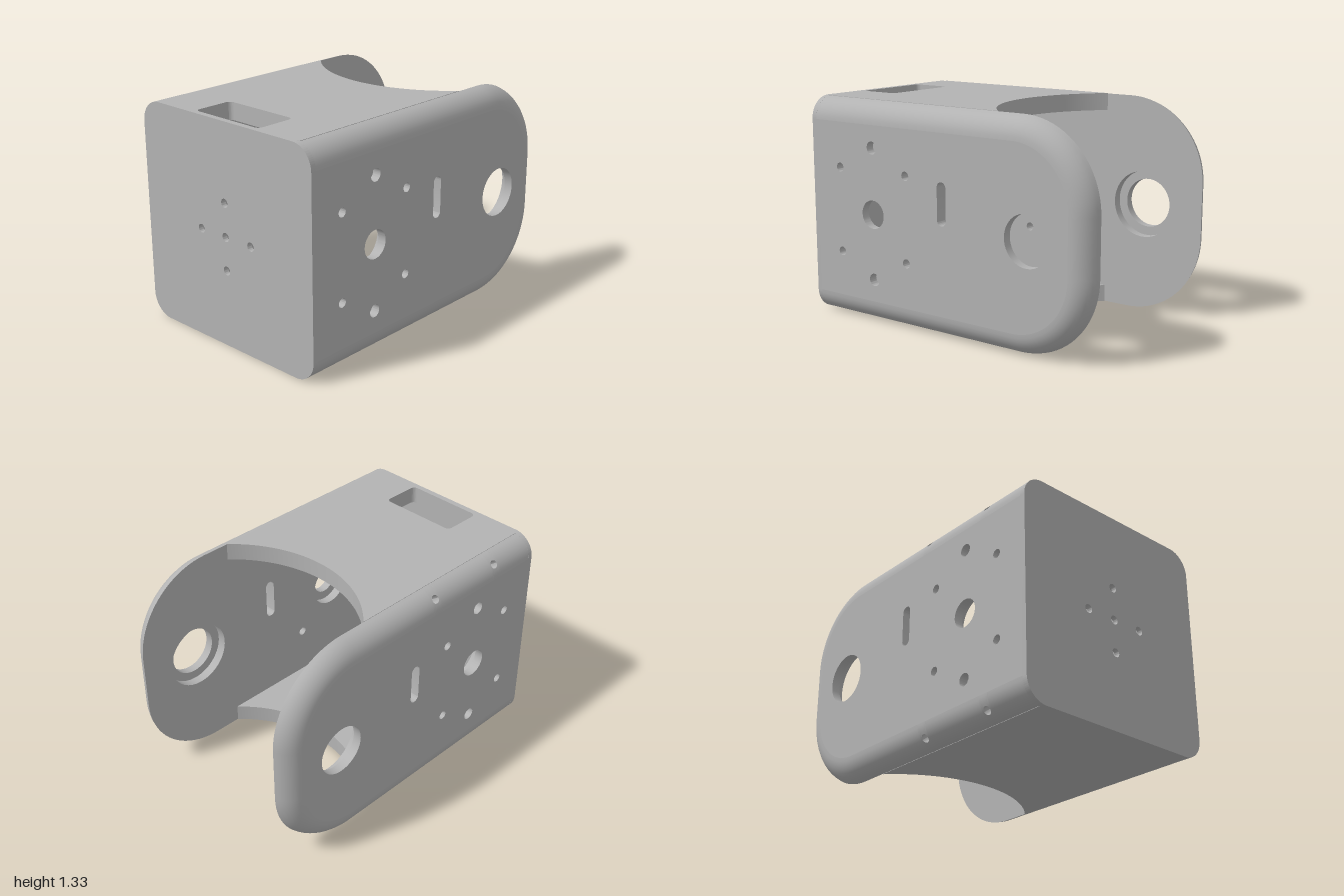
import * as THREE from 'three';
import { toCreasedNormals } from 'three/addons/utils/BufferGeometryUtils.js';

const H = 1.333, W = 0.665;      // height, half width
const IN = 0.555, STEP = 0.612;  // inner wall face, counterbore floor
const R = 0.5, F = 0.135;        // back corner radius, edge fillet
const FZ = 0.968;                // inner face of the front plate
const MID = H / 2;
const A_END = Math.acos((IN - W + F) / F), ROWS = 8;
const PIN_Z = [0.67, 0.16], PIN_HALF = 0.035;

const crease = (g) => toCreasedNormals(g, 0.5);

// Surface through rows of points
function loft(rows, skip = () => false) {
  const n = rows[0].length, index = [];
  for (let r = 0; r < rows.length - 1; r++) {
    for (let c = 0; c < n - 1; c++) {
      if (skip(r, c)) continue;
      const a = r * n + c, b = a + n;
      index.push(a, b, a + 1, b, b + 1, a + 1);
    }
  }
  const g = new THREE.BufferGeometry().setFromPoints(rows.flat());
  g.setIndex(index);
  return crease(g);
}

// Side outline as [z, y], inset by i, from bottom front round the back to top front
function outline(i) {
  const half = [[FZ, i]];
  for (const z of PIN_Z) half.push([z + PIN_HALF, i], [z - PIN_HALF, i]);
  for (let k = 0; k <= 20; k++) {
    const t = (k / 20) * Math.PI / 2;
    half.push([R - 1 - (R - i) * Math.sin(t), R - (R - i) * Math.cos(t)]);
  }
  return [...half, ...half.map(([z, y]) => [z, H - y]).reverse()];
}

const circle = (x, y, r) => new THREE.Path().absarc(x, y, r, 0, Math.PI * 2, true);

function extrude(shape, depth) {
  return new THREE.ExtrudeGeometry(shape, { depth, bevelEnabled: false, curveSegments: 32 });
}

// Flat layer of a side wall between two x positions
function wallLayer(x0, x1, bigR, midR, blind) {
  const s = new THREE.Shape(outline(F).map(([z, y]) => new THREE.Vector2(-z, y)));
  s.holes.push(circle(0.6, MID, bigR), circle(-0.517, MID, midR));
  for (const z of [0.26, 0.777]) {
    for (const dy of [-0.258, 0.258]) s.holes.push(circle(-z, MID + dy, 0.027));
  }
  if (blind) for (const dy of [-0.397, 0.397]) s.holes.push(circle(-0.517, MID + dy, 0.038));
  const slot = new THREE.Path();
  slot.absarc(0.01, 0.888, 0.032, 0, Math.PI, false);
  slot.absarc(0.01, 0.7, 0.032, Math.PI, Math.PI * 2, false);
  slot.closePath();
  s.holes.push(slot);
  return crease(extrude(s, x1 - x0).rotateY(Math.PI / 2).translate(x0, 0, 0));
}

// Rounded rim of a side wall, optionally leaving gaps for the pin holes
function wallRim(pinHoles) {
  const rows = [];
  const row = (x, i) => rows.push(outline(i).map(([z, y]) => new THREE.Vector3(x, y, z)));
  for (let k = 0; k <= ROWS; k++) {
    const a = (k / ROWS) * A_END;
    row(W - F + F * Math.cos(a), F * (1 - Math.sin(a)));
  }
  row(IN, F);
  const n = rows[0].length;
  const gaps = [1, 3, n - 3, n - 5];
  return loft(rows, (r, c) => pinHoles && r < ROWS && gaps.includes(c));
}

// Piece of the rim with a blind pin hole, square to the rounded edge
function pinPatch(zc, top) {
  const ac = 0.67, rad = 0.025, depth = 0.08;
  const point = (z, a) => {
    const y = F - F * Math.sin(a);
    return new THREE.Vector3(W - F + F * Math.cos(a), top ? H - y : y, z);
  };
  const edge = [];
  const corners = [[-1, 0], [1, 0], [1, 1], [-1, 1], [-1, 0]];
  for (let s = 0; s < 4; s++) {
    for (let k = 0; k < ROWS; k++) {
      const [p, q] = [corners[s], corners[s + 1]], t = k / ROWS;
      edge.push([(p[0] + (q[0] - p[0]) * t) * PIN_HALF, (p[1] + (q[1] - p[1]) * t) * A_END - ac]);
    }
  }
  edge.push(edge[0]);
  if (!top) edge.reverse();
  const rim = edge.map(([dz, da]) => {
    const l = Math.hypot(dz, da * F);
    return [dz / l * rad, da / l * rad];
  });
  const rows = [];
  for (let k = 0; k <= 5; k++) {
    rows.push(edge.map(([z, a], j) => point(
      zc + z + (rim[j][0] - z) * k / 5, ac + a + (rim[j][1] - a) * k / 5)));
  }
  const sink = new THREE.Vector3(-Math.cos(ac), (top ? -1 : 1) * Math.sin(ac), 0).multiplyScalar(depth);
  rows.push(rows[5].map((p) => p.clone().add(sink)));
  rows.push(edge.map(() => point(zc, ac).add(sink)));
  return loft(rows);
}

// Mirror in x and restore the order of corners
function mirrorX(g) {
  g.applyMatrix4(new THREE.Matrix4().makeScale(-1, 1, 1));
  for (const at of Object.values(g.attributes)) {
    const n = at.itemSize, v = at.array;
    for (let i = 0; i < v.length; i += 3 * n) {
      for (let k = 0; k < n; k++) {
        [v[i + n + k], v[i + 2 * n + k]] = [v[i + 2 * n + k], v[i + n + k]];
      }
    }
  }
  return g;
}

function roundedRect(path, x0, y0, x1, y1, r) {
  path.absarc(x1 - r, y0 + r, r, -Math.PI / 2, 0, false);
  path.absarc(x1 - r, y1 - r, r, 0, Math.PI / 2, false);
  path.absarc(x0 + r, y1 - r, r, Math.PI / 2, Math.PI, false);
  path.absarc(x0 + r, y0 + r, r, Math.PI, Math.PI * 1.5, false);
  path.closePath();
  return path;
}

// Top or bottom plate with a curved back edge
function deck(y, thick, window) {
  const rad = 0.762, cy = 0.852, a = Math.asin(IN / rad);
  const s = new THREE.Shape();
  s.moveTo(-IN, -FZ);
  s.lineTo(IN, -FZ);
  s.absarc(0, cy, rad, -Math.PI / 2 + a, -Math.PI / 2 - a, true);
  s.closePath();
  if (window) s.holes.push(roundedRect(new THREE.Path(), -0.25, -0.964, 0.25, -0.715, 0.03));
  return crease(extrude(s, thick).rotateX(-Math.PI / 2).translate(0, y, 0));
}

export function createModel() {
  const model = new THREE.Group();
  model.name = 'bracketHousing';
  const grey = new THREE.MeshStandardMaterial({ color: 0xb3b3b3 });
  grey.name = 'plainGrey';
  const add = (parent, name, geo) => {
    const m = new THREE.Mesh(geo, grey);
    m.name = name;
    parent.add(m);
  };

  // Front plate with a cross of five holes
  const front = roundedRect(new THREE.Shape(), -W, 0, W, H, F);
  for (const [x, y] of [[0, 0], [0.2, 0], [-0.2, 0], [0, 0.2], [0, -0.2]]) {
    front.holes.push(circle(x, MID + y, 0.026));
  }
  add(model, 'frontPlate', crease(extrude(front, 1 - FZ).translate(0, 0, FZ)));

  // Top plate with a window, plain bottom plate
  add(model, 'topPlate', deck(H - 0.105, 0.105, true));
  add(model, 'bottomPlate', deck(0, 0.105, false));

  // Side walls; only the right one has pin holes in its rounded edges
  for (const side of ['left', 'right']) {
    const right = side === 'right';
    const fit = (g) => (right ? mirrorX(g) : g);
    const wall = new THREE.Group();
    wall.name = side + 'Wall';
    add(wall, 'outerLayer', fit(wallLayer(STEP, W, 0.15, 0.085, true)));
    add(wall, 'innerLayer', fit(wallLayer(IN, STEP, 0.205, 0.143, false)));
    add(wall, 'roundedRim', fit(wallRim(right)));
    if (right) {
      for (const z of PIN_Z) {
        for (const top of [true, false]) add(wall, 'pinHole', fit(pinPatch(z, top)));
      }
    }
    model.add(wall);
  }
  return model;
}
